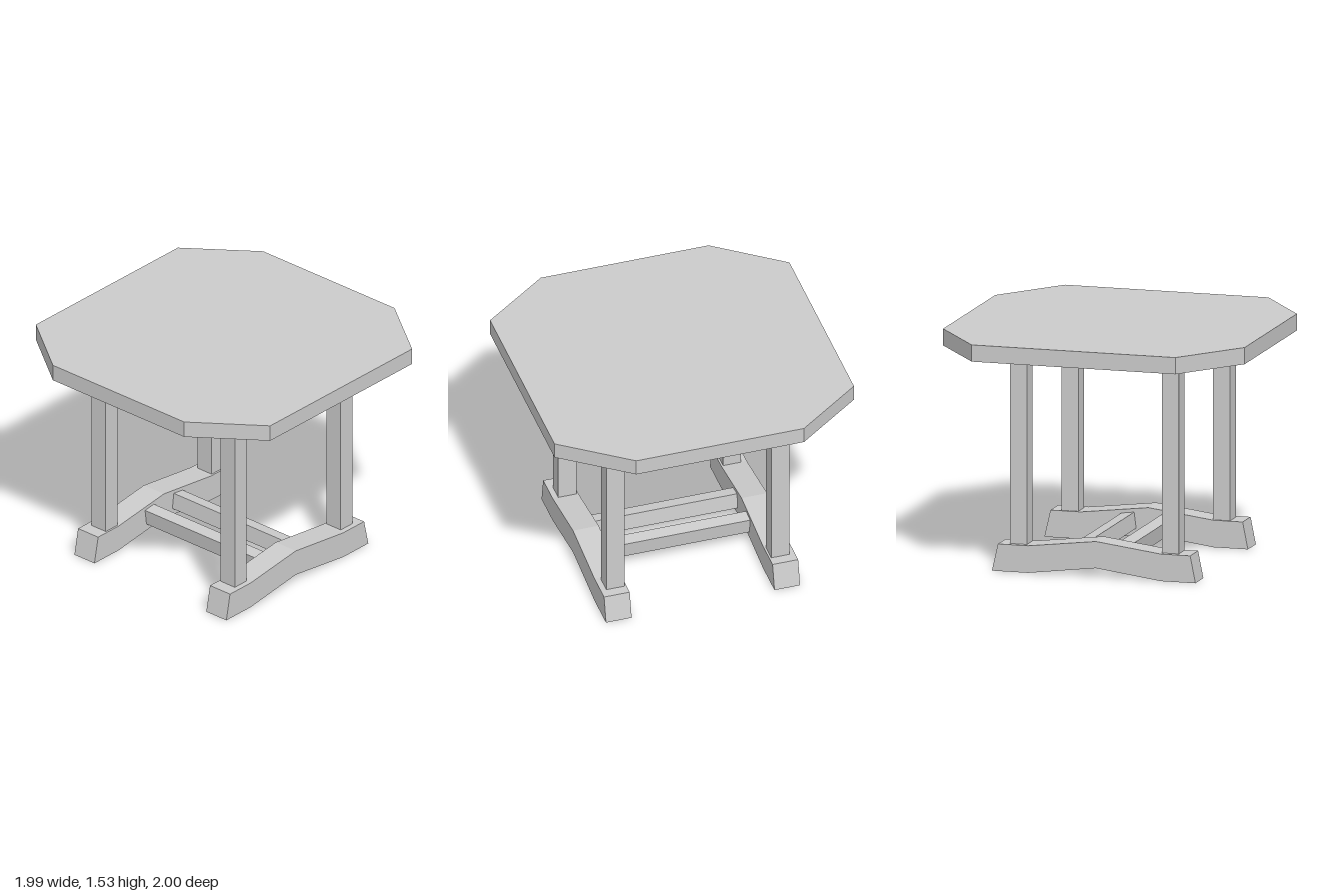
import * as THREE from 'three';

export function createModel() {
  const table = new THREE.Group();
  table.name = 'table';
  const material = new THREE.MeshStandardMaterial({ color: 0xcccccc, flatShading: true });

  const add = (name, geometry, x, y, z) => {
    const mesh = new THREE.Mesh(geometry, material);
    mesh.name = name;
    mesh.position.set(x, y, z);
    table.add(mesh);
    return mesh;
  };
  const outline = (points) => new THREE.Shape(points.map(([x, y]) => new THREE.Vector2(x, y)));
  const extrude = (points, depth) =>
    new THREE.ExtrudeGeometry(outline(points), { depth, bevelEnabled: false });

  // Eight-sided top with clipped corners
  const top = extrude([
    [0.555, 1], [-0.56, 1], [-0.995, 0.675], [-0.995, -0.675],
    [-0.56, -1], [0.555, -1], [0.995, -0.675], [0.995, 0.675],
  ], 0.108);
  top.rotateX(-Math.PI / 2);
  add('tableTop', top, 0, 1.418, 0);

  // Arched sled feet: side profile as (-z, y), turned to run along z
  const footProfile = [
    [-0.70, 0], [-0.47, 0], [-0.04, 0.058], [0.41, 0], [0.65, 0],
    [0.61, 0.175], [0.41, 0.175], [-0.04, 0.23], [-0.47, 0.175], [-0.665, 0.175],
  ];
  const footWidth = 0.17;
  const foot = extrude(footProfile, footWidth);
  foot.translate(0, 0, -footWidth / 2);
  foot.rotateY(Math.PI / 2);

  const legBottom = 0.165, legTop = 1.42;
  for (const side of [1, -1]) {
    const label = side > 0 ? 'left' : 'right';
    add(label + 'Foot', foot, side * 0.56, 0, 0);

    // Square legs standing on the flat ends of each foot
    for (const [end, z] of [['Front', 0.522], ['Back', -0.485]]) {
      add(label + end + 'Leg', new THREE.BoxGeometry(0.12, legTop - legBottom, 0.112),
        side * 0.548, (legTop + legBottom) / 2, z);
    }
  }

  // Twin stretchers, tilted to follow the slope of the feet
  for (const dir of [1, -1]) {
    const bar = add(dir > 0 ? 'frontStretcher' : 'backStretcher',
      new THREE.BoxGeometry(0.96, 0.105, 0.085), 0, 0.138, 0.04 + dir * 0.13);
    bar.rotation.x = dir * 0.127;
  }

  return table;
}
